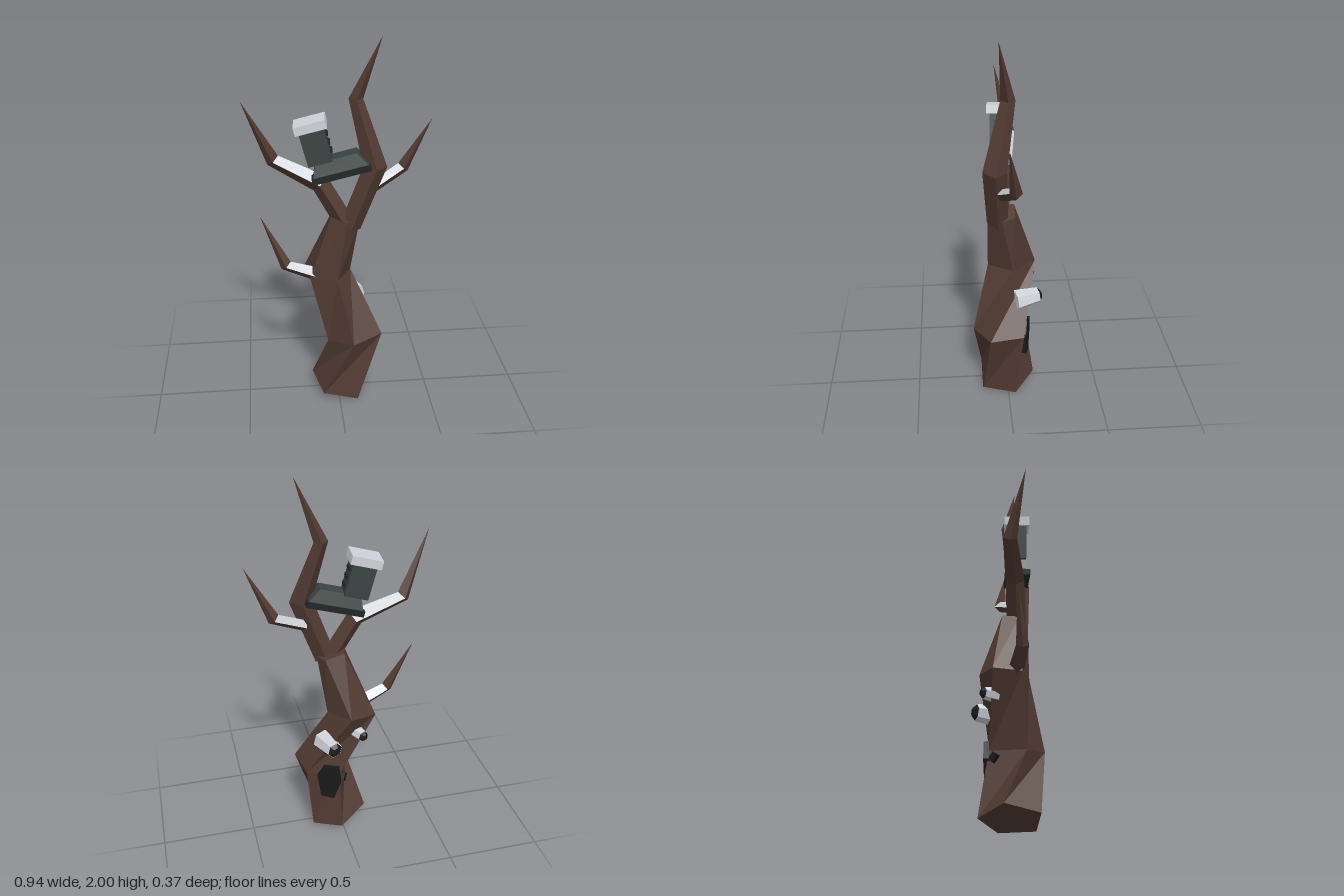
import * as THREE from 'three';

const mat = (name, color) => {
  const m = new THREE.MeshStandardMaterial({ color, flatShading: true });
  m.name = name;
  return m;
};

const V = (p) => new THREE.Vector3(...p);

// Skin a list of rings (counter-clockwise about the direction of travel).
// Faces of segment `snowSegment` that look upward use material slot 1.
function loft(rings, snowSegment = -1) {
  const pos = [], slots = [];
  const tri = (a, b, c, slot) => {
    pos.push(...a.toArray(), ...b.toArray(), ...c.toArray());
    slots.push(slot);
  };
  const n = rings[0].length;
  for (let s = 0; s < rings.length - 1; s++) {
    for (let k = 0; k < n; k++) {
      const j = (k + 1) % n;
      const [a, b, c, d] = [rings[s][k], rings[s][j], rings[s + 1][j], rings[s + 1][k]];
      const normal = c.clone().sub(a).cross(d.clone().sub(b)).normalize();
      const slot = s === snowSegment && normal.y > 0.15 ? 1 : 0;
      tri(a, b, c, slot);
      tri(a, c, d, slot);
    }
  }
  const first = rings[0], last = rings[rings.length - 1];
  for (let k = 1; k < n - 1; k++) {
    tri(first[0], first[k + 1], first[k], 0);
    tri(last[0], last[k], last[k + 1], 0);
  }
  const g = new THREE.BufferGeometry();
  g.setAttribute('position', new THREE.Float32BufferAttribute(pos, 3));
  slots.forEach((slot, i) => g.addGroup(i * 3, 3, slot));
  g.computeVertexNormals();
  return g;
}

// Four-sided tapering limb along [x, y, z, radius] points
function limbGeometry(path, snowSegment) {
  const pts = path.map(V);
  const rings = pts.map((p, i) => {
    const t = pts[Math.min(i + 1, pts.length - 1)].clone()
      .sub(pts[Math.max(i - 1, 0)]).normalize();
    const n1 = new THREE.Vector3(0, 0, 1).addScaledVector(t, -t.z).normalize();
    const n2 = t.clone().cross(n1);
    return [0, 1, 2, 3].map((k) => p.clone()
      .addScaledVector(n1, path[i][3] * Math.cos(k * Math.PI / 2))
      .addScaledVector(n2, path[i][3] * Math.sin(k * Math.PI / 2)));
  });
  return loft(rings, snowSegment);
}

export function createModel() {
  const model = new THREE.Group();
  model.name = 'deadTree';
  const bark = mat('bark', 0x523b33);
  const snow = mat('snow', 0xd0d4da);
  const leather = mat('bootLeather', 0x3a4442);
  const rubber = mat('soleRubber', 0x222626);
  const black = mat('black', 0x1a1a1a);

  const add = (parent, name, geometry, material, p = [0, 0, 0]) => {
    const m = new THREE.Mesh(geometry, material);
    m.name = name;
    m.position.set(...p);
    parent.add(m);
    return m;
  };

  // Crooked five-sided trunk
  const trunkRings = [
    [[-0.09, 0.05, 0.14], [0.10, 0, 0.14], [0.16, 0, -0.04], [0.02, 0.04, -0.15], [-0.14, 0.08, -0.04]],
    [[0.07, 0.385, 0.185], [0.23, 0.40, 0.10], [0.20, 0.40, -0.08], [0.02, 0.37, -0.10], [-0.06, 0.36, 0.08]],
    [[-0.01, 0.74, 0.10], [0.07, 0.74, -0.03], [-0.03, 0.745, -0.155], [-0.175, 0.73, -0.10], [-0.15, 0.73, 0.05]],
    [[0.04, 1.07, 0.10], [0.11, 1.05, 0.03], [0.08, 1.06, -0.04], [-0.02, 1.09, -0.04], [-0.04, 1.08, 0.05]],
  ];
  add(model, 'trunk', loft(trunkRings.map((r) => r.map(V))), [bark, snow]);

  // Limbs: path points with radius, and the segment that carries snow
  const limbs = {
    tallLimb: [[[0.06, 1.03, 0.05, 0.055], [0.18, 1.36, 0.07, 0.06], [0.088, 1.69, 0, 0.036], [0.205, 2, 0.05, 0]], -1],
    leftForkLimb: [[[0.03, 1.05, 0.04, 0.05], [-0.09, 1.26, 0.02, 0.05], [-0.325, 1.375, -0.03, 0.036], [-0.47, 1.7, 0.035, 0]], 1],
    rightTwig: [[[0.17, 1.235, 0.04, 0.03], [0.335, 1.32, -0.02, 0.032], [0.465, 1.585, 0.02, 0]], 0],
    lowTwig: [[[-0.12, 0.745, 0.02, 0.04], [-0.275, 0.81, 0.035, 0.032], [-0.4, 1.08, 0, 0]], 0],
  };
  for (const [name, [path, seg]] of Object.entries(limbs)) {
    add(model, name, limbGeometry(path, seg), [bark, snow]);
  }

  // Bulging eyes on the back of the trunk
  const addEye = (name, from, to, r) => {
    const eye = new THREE.Group();
    eye.name = name;
    const dir = V(to).sub(V(from));
    const len = dir.length();
    eye.position.set(...from);
    eye.quaternion.setFromUnitVectors(new THREE.Vector3(0, 1, 0), dir.normalize());
    add(eye, 'eyeball', new THREE.CylinderGeometry(r * 0.75, r, len, 6), snow, [0, len / 2, 0]);
    add(eye, 'pupil', new THREE.CylinderGeometry(r * 0.4, r * 0.72, 0.018, 6), black, [0, len + 0.009, 0]);
    model.add(eye);
  };
  addEye('wideEye', [0.10, 0.575, -0.04], [0.062, 0.58, -0.163], 0.058);
  addEye('smallEye', [-0.075, 0.625, -0.07], [-0.1, 0.625, -0.135], 0.04);

  // Gaping mouth and its corner
  const mouthShape = new THREE.Shape([[0.03, 0.42], [0.02, 0.33], [0.06, 0.22], [0.13, 0.24], [0.15, 0.38], [0.11, 0.44]]
    .map(([x, y]) => new THREE.Vector2(x, y)));
  const mouthGeo = new THREE.ExtrudeGeometry(mouthShape, { depth: 0.03, bevelEnabled: false });
  const mouth = add(model, 'mouth', mouthGeo, black, [0, 0, -0.132]);
  mouth.rotation.y = -0.25;
  const corner = add(model, 'mouthCorner', new THREE.BoxGeometry(0.03, 0.045, 0.05), black, [0.005, 0.33, -0.07]);
  corner.rotation.set(0, 0.9, 0.6);

  // Boot caught in the fork: x runs heel to toe, y up the shaft
  const boot = new THREE.Group();
  boot.name = 'boot';
  boot.position.set(-0.125, 1.28, 0.025);
  boot.rotation.set(0, -0.08, 0.26);
  const box = (name, w, h, d, m, p) => add(boot, name, new THREE.BoxGeometry(w, h, d), m, p);
  box('sole', 0.3, 0.032, 0.132, rubber, [0.15, 0.016, 0.005]);
  const footRing = (x0, x1, y, w) =>
    [[x0, y, w], [x1, y, w], [x1, y, -w], [x0, y, -w]].map(V);
  add(boot, 'foot', loft([footRing(0.01, 0.292, 0.032, 0.06), footRing(0.035, 0.25, 0.1, 0.042)]), [leather, snow], [0, 0, 0.005]);
  box('shaft', 0.125, 0.18, 0.1, leather, [0.0625, 0.18, 0]);
  box('cuff', 0.16, 0.045, 0.132, snow, [0.063, 0.288, 0]);
  for (let i = 0; i < 3; i++) {
    box('lace', 0.012, 0.014, 0.06, rubber, [0.128, 0.135 + i * 0.045, 0]);
  }
  model.add(boot);

  return model;
}
